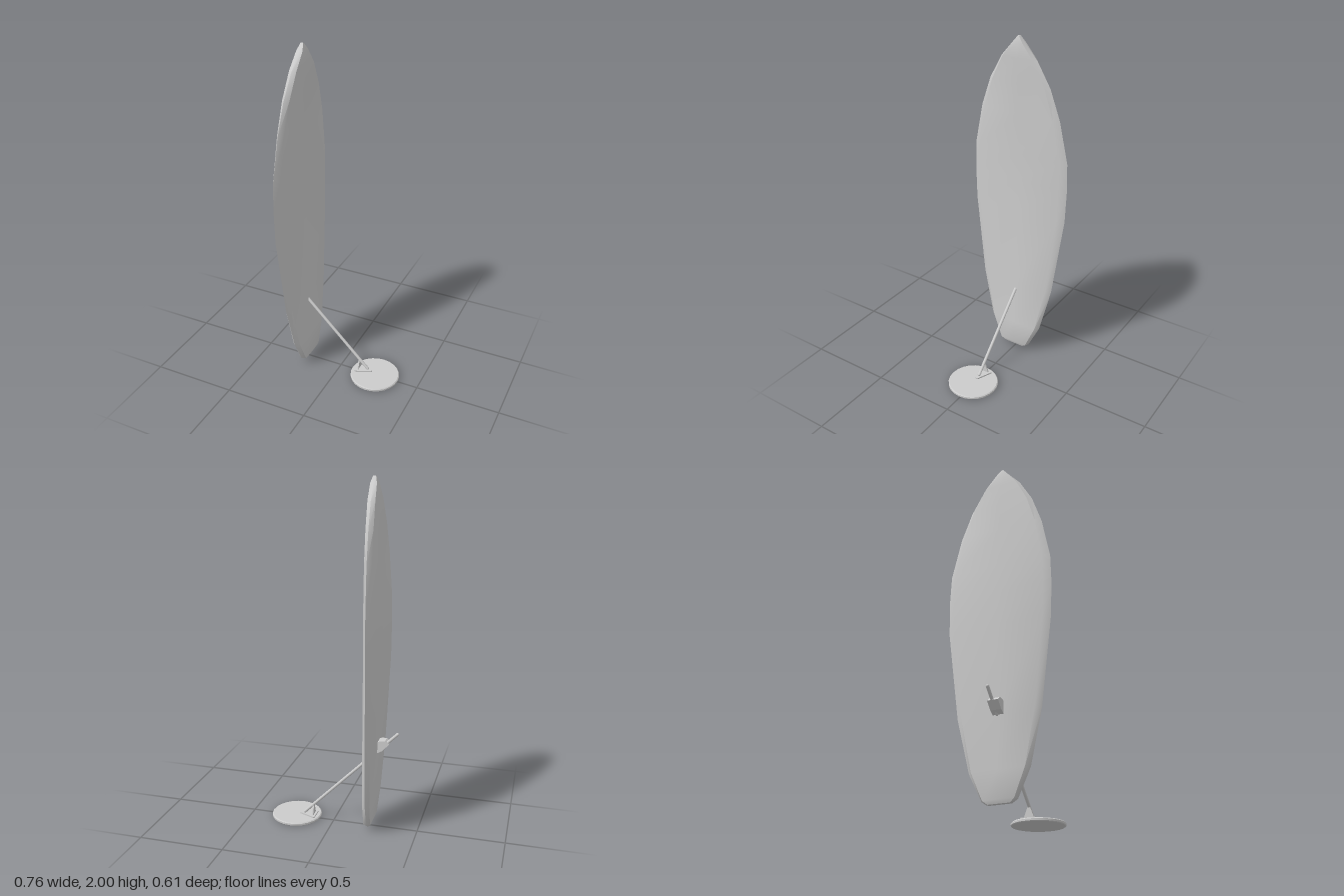
import * as THREE from 'three';
import { toCreasedNormals } from 'three/addons/utils/BufferGeometryUtils.js';

const material = new THREE.MeshStandardMaterial({ color: 0xcccccc, side: THREE.DoubleSide });

function part(name, geometry, parent) {
  const mesh = new THREE.Mesh(geometry, material);
  mesh.name = name;
  parent.add(mesh);
  return mesh;
}

// Straight round bar between two points
function bar(name, a, b, radius, parent) {
  const dir = b.clone().sub(a);
  const mesh = part(name, new THREE.CylinderGeometry(radius, radius, dir.length(), 12), parent);
  mesh.position.copy(a).add(b).multiplyScalar(0.5);
  mesh.quaternion.setFromUnitVectors(new THREE.Vector3(0, 1, 0), dir.normalize());
  return mesh;
}

// Bowed board lofted from hexagonal sections: [height, half width, centre x, half thickness]
function boardGeometry() {
  const sections = [
    [0.025, 0.07, -0.221, 0.012], [0.045, 0.1, -0.221, 0.02], [0.19, 0.17, -0.228, 0.021],
    [0.48, 0.238, -0.24, 0.021], [0.97, 0.3, -0.252, 0.021], [1.17, 0.306, -0.252, 0.021],
    [1.33, 0.301, -0.25, 0.021], [1.57, 0.25, -0.241, 0.021], [1.74, 0.19, -0.234, 0.021],
    [1.88, 0.11, -0.226, 0.021], [1.965, 0.035, -0.221, 0.018], [2, 0.004, -0.22, 0.008]
  ];
  // Section outline as [width factor, thickness factor]
  const outline = [[1, 0], [0.87, 1], [0, 1.06], [-0.87, 1], [-1, 0], [-0.87, -1], [0, -1.06], [0.87, -1]];
  const n = outline.length, positions = [], index = [];
  for (const [y, w, x, t] of sections)
    for (const [a, b] of outline) positions.push(x + b * t, y, a * w);
  for (let s = 0; s < sections.length - 1; s++)
    for (let i = 0; i < n; i++) {
      const a = s * n + i, b = s * n + (i + 1) % n;
      index.push(a, b + n, b, a, a + n, b + n);
    }
  // Close the tail and the nose
  const top = (sections.length - 1) * n;
  for (let i = 1; i < n - 1; i++) {
    index.push(0, i, i + 1);
    index.push(top, top + i + 1, top + i);
  }
  // Swap so every face points outward
  for (let i = 0; i < index.length; i += 3) [index[i + 1], index[i + 2]] = [index[i + 2], index[i + 1]];
  const g = new THREE.BufferGeometry();
  g.setAttribute('position', new THREE.Float32BufferAttribute(positions, 3));
  g.setIndex(index);
  if (signedVolume(positions, index) < 0) g.setIndex(index.reverse());
  return toCreasedNormals(g, 0.7);
}

function signedVolume(p, index) {
  const v = k => new THREE.Vector3(p[3 * k], p[3 * k + 1], p[3 * k + 2]);
  let sum = 0;
  for (let i = 0; i < index.length; i += 3)
    sum += v(index[i]).dot(v(index[i + 1]).cross(v(index[i + 2])));
  return sum;
}

function extrude(points, depth) {
  const shape = new THREE.Shape(points.map(([x, y]) => new THREE.Vector2(x, y)));
  return new THREE.ExtrudeGeometry(shape, { depth, bevelEnabled: false });
}

export function createModel() {
  const model = new THREE.Group();
  model.name = 'sailboardWithMastFoot';

  part('board', boardGeometry(), model);

  // Round base with a small bevelled rim
  const profile = [[0, 0], [0.144, 0], [0.148, 0.004], [0.148, 0.014], [0.143, 0.019], [0, 0.019]]
    .map(([r, y]) => new THREE.Vector2(r, y));
  const base = part('baseDisc', toCreasedNormals(new THREE.LatheGeometry(profile, 24), 0.5), model);
  base.position.set(0.23, 0, 0.007);

  // Triangular mounting plate on the base
  const plate = part('mountingPlate', extrude(
    [[0.107, -0.042], [0.115, -0.047], [0.204, -0.009], [0.208, 0], [0.204, 0.009], [0.115, 0.047], [0.107, 0.042]],
    0.009), model);
  plate.rotation.x = -Math.PI / 2;
  plate.position.y = 0.018;

  // Upright triangular bracket that carries the pole
  const bracket = part('poleBracket', extrude(
    [[-0.03, 0.025], [0.03, 0.025], [0.008, 0.08], [-0.008, 0.08]], 0.008), model);
  bracket.rotation.y = Math.PI / 2;
  bracket.position.x = 0.12;

  // Slanted pole passing through the board, with rounded ends
  const low = new THREE.Vector3(0.178, 0.033, 0), high = new THREE.Vector3(-0.372, 0.584, 0);
  bar('pole', low, high, 0.009, model);
  for (const [name, end] of [['poleFoot', low], ['poleTip', high]])
    part(name, new THREE.SphereGeometry(0.009, 12, 8), model).position.copy(end);

  // Wedge clamp where the pole leaves the board
  const clamp = part('poleClamp', extrude(
    [[-0.327, 0.525], [-0.29, 0.484], [-0.262, 0.468], [-0.255, 0.53], [-0.272, 0.54], [-0.305, 0.543]],
    0.061), model);
  clamp.position.z = -0.024;

  return model;
}
